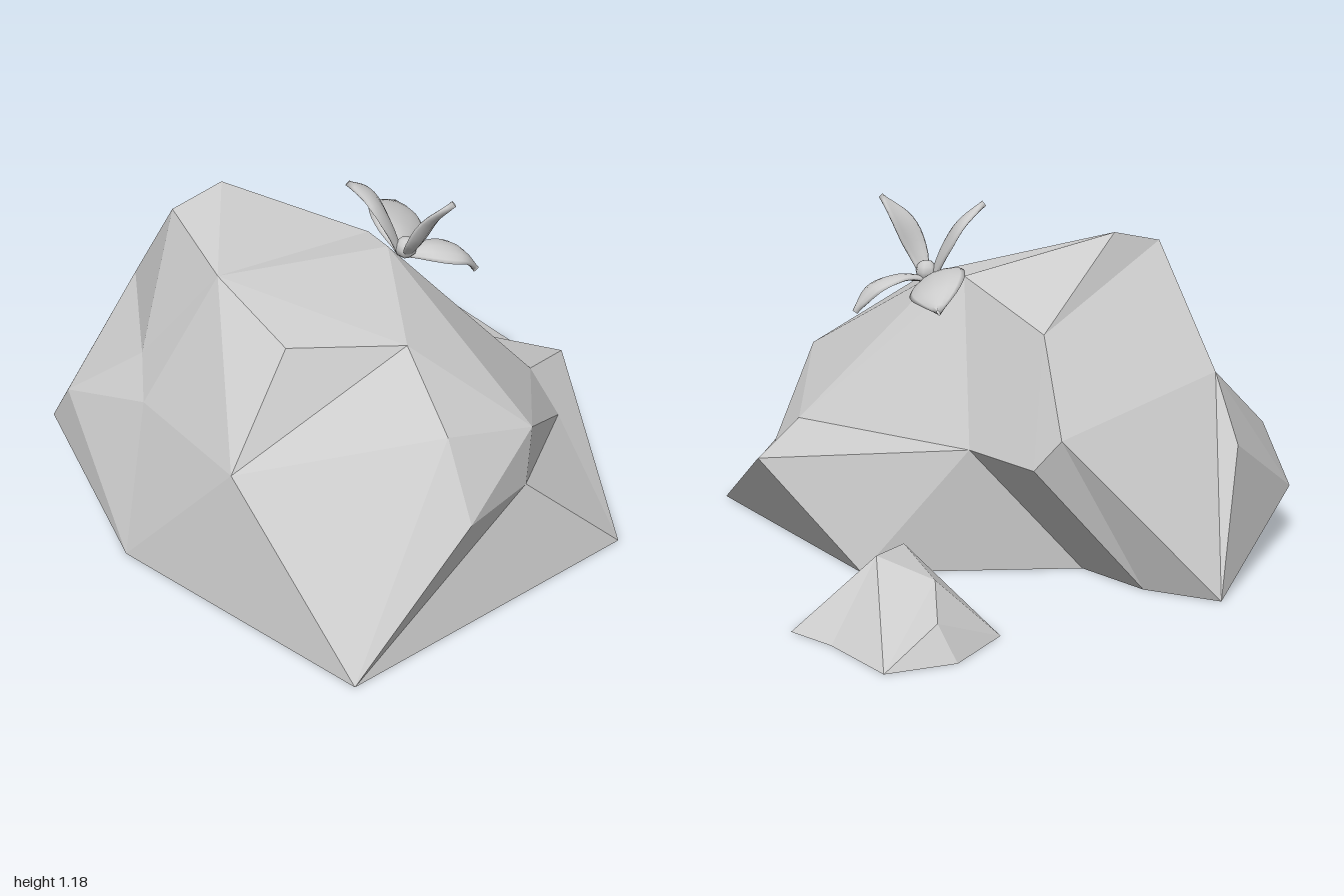
import * as THREE from 'three';
import { ParametricGeometry } from 'three/addons/geometries/ParametricGeometry.js';

const rockMaterial = new THREE.MeshStandardMaterial({ color: 0xcccccc, flatShading: true, side: THREE.DoubleSide });
const smoothMaterial = new THREE.MeshStandardMaterial({ color: 0xcccccc, side: THREE.DoubleSide });

// Faceted shell: each fan is a hub corner followed by the corners around it.
// Every facet is turned to face away from the core point.
function facetedRock(name, corners, fans, core) {
  const points = corners.map((c) => new THREE.Vector3(...c));
  const centre = new THREE.Vector3(...core);
  const position = [];
  for (const [hub, ...ring] of fans) {
    for (let i = 0; i + 1 < ring.length; i++) {
      const tri = new THREE.Triangle(points[hub], points[ring[i]], points[ring[i + 1]]);
      const outward = tri.getMidpoint(new THREE.Vector3()).sub(centre);
      const flip = tri.getNormal(new THREE.Vector3()).dot(outward) < 0;
      for (const p of flip ? [tri.a, tri.c, tri.b] : [tri.a, tri.b, tri.c]) position.push(p.x, p.y, p.z);
    }
  }
  const geometry = new THREE.BufferGeometry();
  geometry.setAttribute('position', new THREE.Float32BufferAttribute(position, 3));
  geometry.computeVertexNormals();
  const mesh = new THREE.Mesh(geometry, rockMaterial);
  mesh.name = name;
  return mesh;
}

// Thin curved petal: a flat oval section swept along a path, widest past the middle
function petal(name, path, across, halfWidth) {
  const curve = new THREE.CatmullRomCurve3(path.map((p) => new THREE.Vector3(...p)));
  const side = new THREE.Vector3(...across).normalize();
  const geometry = new ParametricGeometry((u, v, target) => {
    const tangent = curve.getTangent(v);
    const wide = side.clone().addScaledVector(tangent, -side.dot(tangent)).normalize();
    const normal = new THREE.Vector3().crossVectors(tangent, wide);
    const angle = u * Math.PI * 2;
    const swell = Math.max(0.04, Math.sin(Math.PI * (0.08 + 0.91 * Math.pow(v, 1.15))));
    const cup = 0.015 * swell * Math.cos(angle) ** 2;
    target.copy(curve.getPoint(v))
      .addScaledVector(wide, halfWidth * swell * Math.cos(angle))
      .addScaledVector(normal, 0.011 * Math.sin(angle) + cup);
  }, 12, 14);
  const mesh = new THREE.Mesh(geometry, smoothMaterial);
  mesh.name = name;
  return mesh;
}

export function createModel() {
  const model = new THREE.Group();
  model.name = 'rocksWithFlower';

  // Boulder, open underneath
  const boulderCorners = [
    // 0-7 ground rim
    [-0.56, 0, 0.99], [0.59, 0, 0.74], [0.51, 0, -0.19], [-0.15, 0, -0.52],
    [-0.22, 0, -0.78], [-0.38, 0, -0.99], [-0.82, 0, -0.54], [-0.93, 0, 0.02],
    // 8-17 front and left flank
    [-0.09, 0.40, 0.89], [0.21, 0.36, 0.73], [0.57, 0.30, 0.36], [0.75, 0.36, 0.09], [0.53, 0.43, 0.23],
    [0.25, 0.55, 0.69], [-0.09, 0.64, 0.73], [-0.08, 0.82, 0.44], [-0.46, 0.86, 0.33], [-0.71, 0.51, 0.43],
    // 18-23 right flank and back
    [-0.79, 0.51, -0.09], [-0.73, 0.61, -0.23], [-0.92, 0.38, -0.47],
    [-0.93, 0.19, -0.62], [-0.56, 0.45, -0.81], [-0.57, 0.66, -0.66],
    // 24-28 crown
    [-0.54, 1.05, -0.36], [-0.35, 1.10, -0.375], [-0.55, 0.99, 0.02], [0.06, 0.94, -0.09], [0.01, 0.83, -0.52],
    // 29-32 back left overhang and ledge under the flower
    [0.07, 0.54, -0.73], [0.13, 0.43, -0.66], [0.20, 0.43, -0.37], [0.07, 0.94, 0.03],
  ];
  const boulderFans = [
    // front
    [0, 1, 9, 8, 14, 17, 7], [13, 14, 8, 9, 10, 12, 32, 15, 14], [1, 9, 10], [15, 32, 26, 16, 17, 14],
    // left side
    [11, 1, 10, 12, 31, 2, 1], [30, 31, 28, 29, 4, 3, 31], [2, 31, 3],
    // crown
    [27, 32, 12, 31, 28, 25, 26, 32], [24, 28, 25, 26],
    // back and right side
    [29, 4, 5], [23, 24, 28, 29, 5, 22, 21, 20, 19, 24], [21, 22, 5, 6, 7, 20],
    [18, 20, 7, 17, 26, 19, 20], [26, 19, 24], [26, 16, 17],
  ];
  model.add(facetedRock('boulder', boulderCorners, boulderFans, [-0.15, 0.25, 0]));

  // Small stone behind the boulder
  const stoneCorners = [
    [0.38, 0, -0.88], [0.60, 0, -1.0], [0.83, 0, -0.96], [0.87, 0, -0.69],
    [0.93, 0, -0.53], [0.61, 0, -0.34], [0.37, 0, -0.54],
    [0.52, 0.21, -0.51], [0.67, 0.23, -0.61], [0.55, 0.18, -0.77], [0.63, 0.11, -0.93],
  ];
  const stoneFans = [
    [8, 7, 5, 4, 3, 2, 9, 7], [0, 1, 10, 9, 7, 6], [2, 1, 10, 9], [5, 6, 7],
  ];
  model.add(facetedRock('smallStone', stoneCorners, stoneFans, [0.62, 0.02, -0.7]));

  // Flower on the crown
  const flower = new THREE.Group();
  flower.name = 'flower';
  flower.add(
    petal('rightPetal', [[0.11, 0.91, 0.04], [0.08, 1.02, 0.01], [0.04, 1.11, -0.03], [-0.04, 1.17, -0.05]], [0.4, 0.15, -1], 0.07),
    petal('frontPetal', [[0.13, 0.91, 0.06], [0.13, 0.99, 0.13], [0.16, 1.09, 0.18], [0.20, 1.17, 0.24]], [1, 0, -0.4], 0.06),
    petal('backPetal', [[0.12, 0.91, 0.04], [0.16, 0.95, -0.07], [0.23, 0.94, -0.20], [0.28, 0.89, -0.31]], [0.85, -0.4, 0.35], 0.10),
    petal('leftPetal', [[0.13, 0.91, 0.05], [0.22, 0.92, 0.08], [0.31, 0.89, 0.10], [0.37, 0.81, 0.11]], [0, -0.2, 1], 0.07),
  );
  const heart = new THREE.Mesh(new THREE.SphereGeometry(0.038, 8, 6), smoothMaterial);
  heart.name = 'flowerCentre';
  heart.position.set(0.125, 0.935, 0.055);
  flower.add(heart);
  model.add(flower);

  return model;
}
